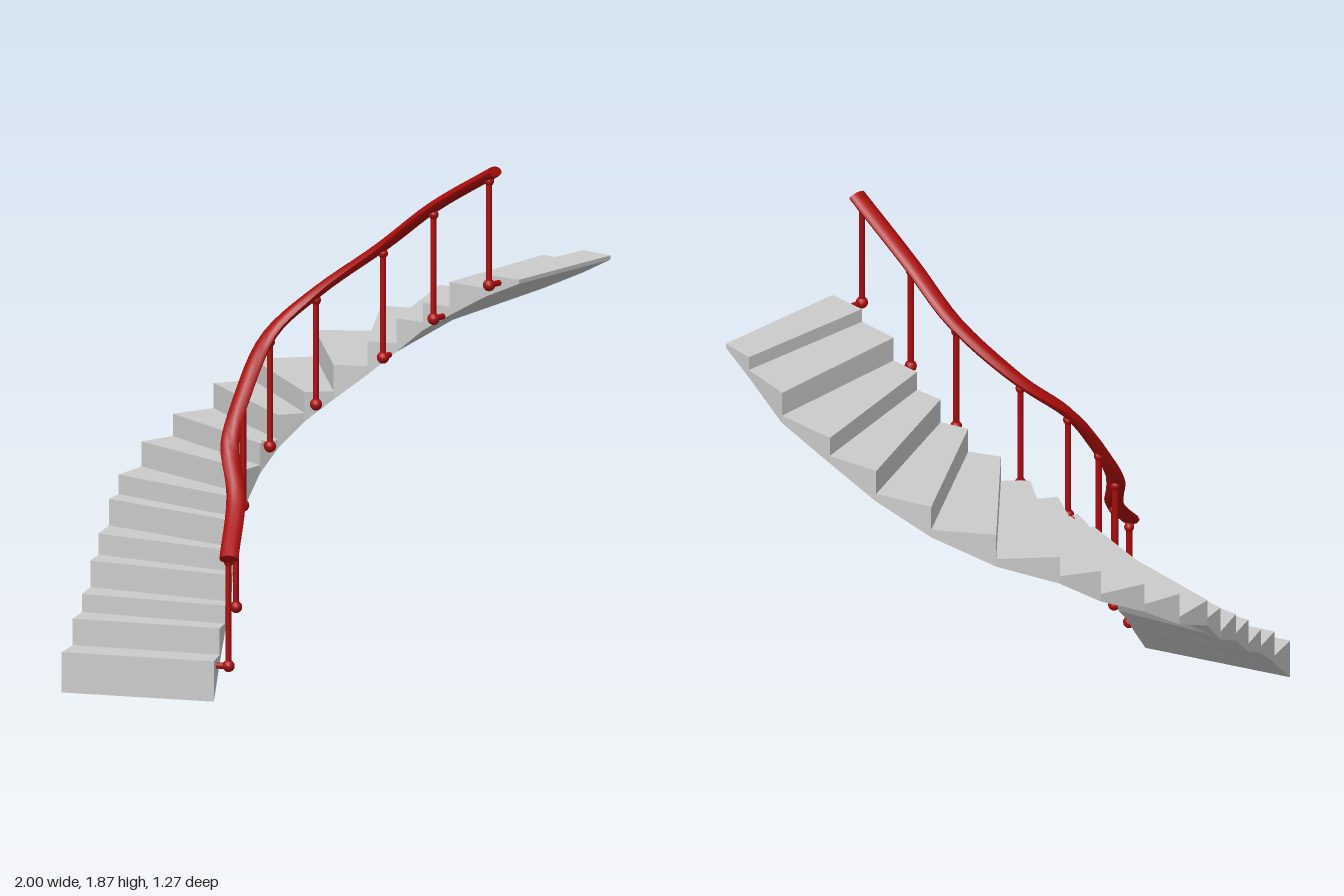
import * as THREE from 'three';
import { toCreasedNormals } from 'three/addons/utils/BufferGeometryUtils.js';

// Riser lines, bottom to top: inner x, inner z, outer x, outer z, tread height
const LINES = [
  [-0.57, 0.475, -1.0, 0.115, 0.145], [-0.505, 0.375, -0.915, 0.015, 0.24],
  [-0.455, 0.305, -0.84, -0.08, 0.305], [-0.41, 0.25, -0.765, -0.18, 0.4],
  [-0.38, 0.195, -0.695, -0.27, 0.475], [-0.35, 0.14, -0.605, -0.39, 0.57],
  [-0.31, 0.09, -0.54, -0.455, 0.64], [-0.26, 0.04, -0.41, -0.555, 0.73],
  [-0.19, -0.005, -0.27, -0.6, 0.81], [-0.11, -0.03, -0.1, -0.635, 0.9],
  [-0.01, -0.025, 0.05, -0.635, 0.975], [0.09, 0, 0.27, -0.59, 1.07],
  [0.19, 0.07, 0.48, -0.49, 1.16], [0.27, 0.145, 0.64, -0.34, 1.25],
  [0.33, 0.24, 0.765, -0.18, 1.32], [0.385, 0.35, 0.88, 0.035, 1.41],
  [0.46, 0.5, 0.945, 0.24, 1.46], [0.53, 0.635, 0.995, 0.365, 1.46],
];

// Feet of the balusters
const FEET = [
  [-0.505, 0.12, 0.455], [-0.4, 0.29, 0.275], [-0.37, 0.45, 0.15],
  [-0.29, 0.61, 0.08], [-0.16, 0.8, 0.015], [0.01, 0.94, 0.03],
  [0.205, 1.12, 0.175], [0.32, 1.285, 0.36], [0.435, 1.44, 0.59],
].map((p) => new THREE.Vector3(...p));

const POST = 0.39;

function fromPositions(positions) {
  const geo = new THREE.BufferGeometry();
  geo.setAttribute('position', new THREE.Float32BufferAttribute(positions, 3));
  return geo;
}

const pushQuad = (out, a, b, c, d) => out.push(...a, ...b, ...c, ...a, ...c, ...d);

// Wedge between two riser lines, with a sloping underside
function treadGeometry(k) {
  const [ix, iz, ox, oz, top] = LINES[k];
  const [jx, jz, px, pz] = LINES[k + 1];
  const low = k === 0 ? 0 : LINES[k - 1][4] - 0.03;
  const high = top - (k === LINES.length - 2 ? 0.015 : 0.03);
  const plan = [[ix, iz, low], [jx, jz, high], [px, pz, high], [ox, oz, low]];
  const up = plan.map(([x, z]) => [x, top, z]);
  const down = plan.map(([x, z, y]) => [x, y, z]);
  const out = [];
  pushQuad(out, ...up);
  pushQuad(out, down[0], down[3], down[2], down[1]);
  for (let i = 0; i < 4; i++) {
    const j = (i + 1) % 4;
    pushQuad(out, down[i], down[j], up[j], up[i]);
  }
  const geo = fromPositions(out);
  geo.computeVertexNormals();
  return geo;
}

// Flattened oval section swept along the curve and kept level
function handrailGeometry(curve) {
  const steps = 40, sides = 10, rings = [], centres = [];
  for (let i = 0; i <= steps; i++) {
    const p = curve.getPoint(i / steps);
    const t = curve.getTangent(i / steps);
    const side = new THREE.Vector3(-t.z, 0, t.x).normalize();
    const up = new THREE.Vector3().crossVectors(side, t).normalize();
    centres.push(p.toArray());
    rings.push(Array.from({ length: sides }, (_, s) => {
      const a = (s / sides) * Math.PI * 2;
      return p.clone().addScaledVector(side, Math.cos(a) * 0.034)
        .addScaledVector(up, Math.sin(a) * 0.02).toArray();
    }));
  }
  const out = [];
  for (let s = 0; s < sides; s++) {
    const n = (s + 1) % sides;
    for (let i = 0; i < steps; i++) {
      pushQuad(out, rings[i][s], rings[i + 1][s], rings[i + 1][n], rings[i][n]);
    }
    out.push(...centres[0], ...rings[0][s], ...rings[0][n]);
    out.push(...centres[steps], ...rings[steps][n], ...rings[steps][s]);
  }
  return toCreasedNormals(fromPositions(out), 0.9);
}

export function createModel() {
  const model = new THREE.Group();
  const stone = new THREE.MeshStandardMaterial({ color: 0xcccccc });
  const red = new THREE.MeshStandardMaterial({ color: 0xaa0c0c, side: THREE.DoubleSide });

  const add = (parent, name, geo, mat, pos) => {
    const mesh = new THREE.Mesh(geo, mat);
    mesh.name = name;
    if (pos) mesh.position.copy(pos);
    parent.add(mesh);
    return mesh;
  };

  // Curved flight of steps
  const flight = new THREE.Group();
  flight.name = 'steps';
  for (let k = 0; k < LINES.length - 1; k++) add(flight, 'step', treadGeometry(k), stone);
  model.add(flight);

  // Handrail, running a little past the end posts
  const path = FEET.map((f) => f.clone().setY(f.y + POST + 0.012));
  path[0].add(new THREE.Vector3(-0.012, -0.012, 0.03));
  path[8].add(new THREE.Vector3(0.012, 0.01, 0.025));
  const curve = new THREE.CatmullRomCurve3(path);
  add(model, 'handrail', handrailGeometry(curve), red);

  // Balusters with a ball at each end and a peg into the side of the steps
  const rod = new THREE.CylinderGeometry(0.011, 0.011, POST, 10);
  const footBall = new THREE.SphereGeometry(0.022, 12, 8);
  const topBall = new THREE.SphereGeometry(0.018, 12, 8);
  const peg = new THREE.CylinderGeometry(0.011, 0.011, 0.06, 8).rotateX(Math.PI / 2);
  FEET.forEach((foot, i) => {
    const post = new THREE.Group();
    post.name = 'baluster';
    post.position.copy(foot);
    add(post, 'rod', rod, red, new THREE.Vector3(0, POST / 2, 0));
    add(post, 'footBall', footBall, red);
    add(post, 'topBall', topBall, red, new THREE.Vector3(0, POST - 0.015, 0));
    const t = curve.getTangent(i / 8);
    const out = new THREE.Vector3(t.z, 0, -t.x).normalize();
    const pin = add(post, 'peg', peg, red, out.clone().multiplyScalar(0.025));
    pin.rotation.y = Math.atan2(out.x, out.z);
    model.add(post);
  });

  return model;
}
